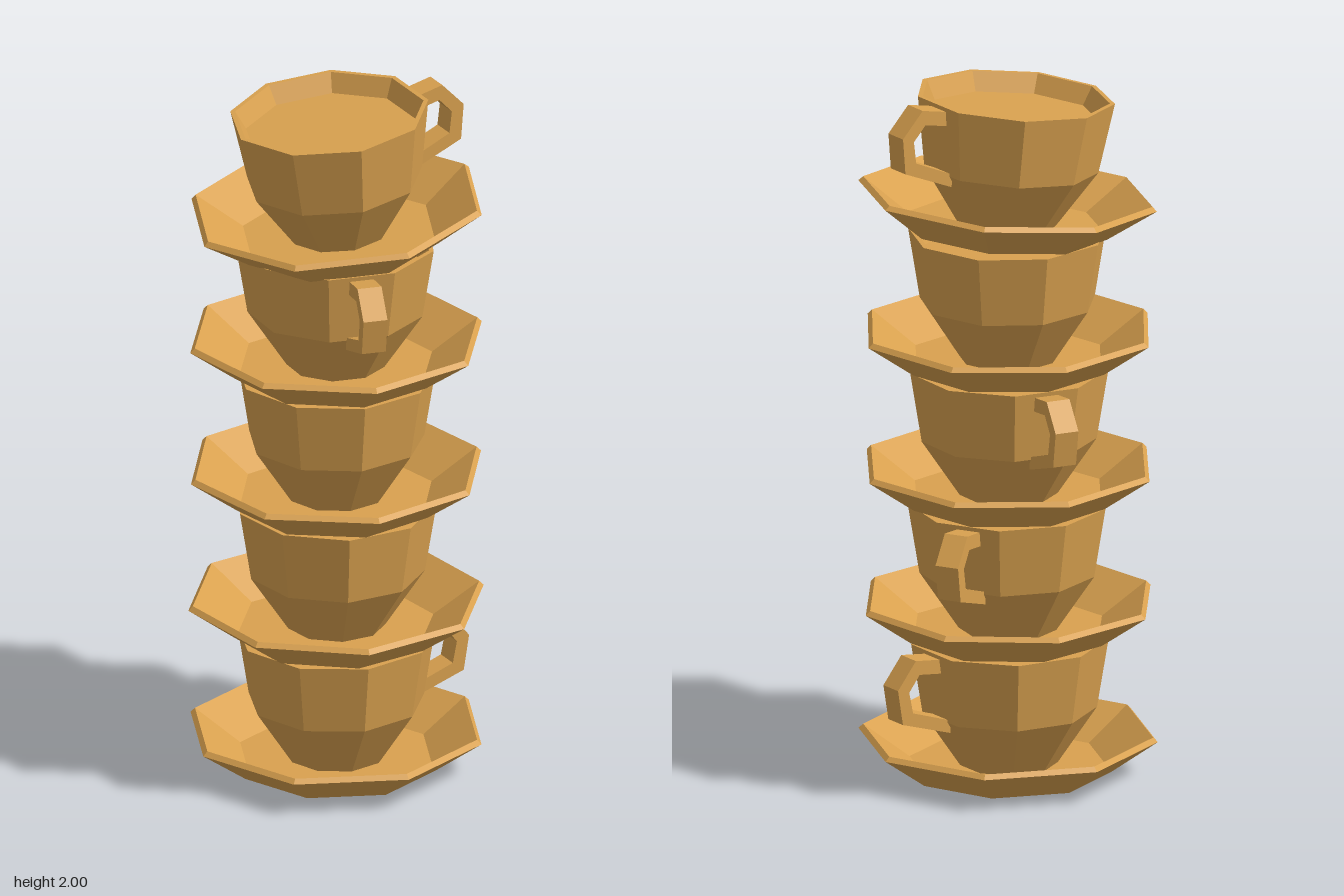
import * as THREE from 'three';

const material = new THREE.MeshStandardMaterial({ color: 0xd9a14f, flatShading: true });

function mesh(name, geometry) {
  const m = new THREE.Mesh(geometry, material);
  m.name = name;
  return m;
}

const points = (list) => list.map(([x, y]) => new THREE.Vector2(x, y));

function faceted(profile, sides) {
  return new THREE.LatheGeometry(points(profile), sides).toNonIndexed();
}

// Octagonal dish with a thin bevelled lip
function saucerGeometry() {
  return faceted([[0, 0], [0.29, 0], [0.425, 0.096], [0.412, 0.109], [0.28, 0.02], [0, 0.02]], 8);
}

// Nine-sided cup, filled almost to the rim; a flat side faces the handle
function cupGeometry() {
  return faceted([
    [0, 0.02], [0.14, 0.02], [0.25, 0.185], [0.283, 0.388],
    [0.269, 0.388], [0.242, 0.335], [0, 0.335],
  ], 9).rotateY(-Math.PI / 2);
}

// Angular open loop that runs into the cup wall at both ends
function handleGeometry() {
  const outline = points([
    [0.225, 0.153], [0.39, 0.207], [0.407, 0.31], [0.345, 0.387], [0.25, 0.374],
    [0.25, 0.333], [0.332, 0.344], [0.368, 0.298], [0.355, 0.235], [0.225, 0.19],
  ]);
  const width = 0.07;
  return new THREE.ExtrudeGeometry(new THREE.Shape(outline), { depth: width, bevelEnabled: false })
    .translate(0, 0, -width / 2);
}

export function createModel() {
  const model = new THREE.Group();
  model.name = 'cupStack';

  const saucer = saucerGeometry();
  const cup = cupGeometry();
  const handle = handleGeometry();

  // Each cup turns its handle a different way; the top one leans
  const turns = [0, 29, 78, 257, 0];
  const step = 0.397;
  turns.forEach((turn, i) => {
    const set = new THREE.Group();
    set.name = `cupAndSaucer${i + 1}`;
    set.add(mesh('saucer', saucer), mesh('cup', cup), mesh('handle', handle));
    set.position.y = i * step;
    set.rotation.y = THREE.MathUtils.degToRad(turn);
    if (i === turns.length - 1) {
      set.position.x = 0.01;
      set.rotation.z = THREE.MathUtils.degToRad(4.8);
    }
    model.add(set);
  });
  return model;
}
